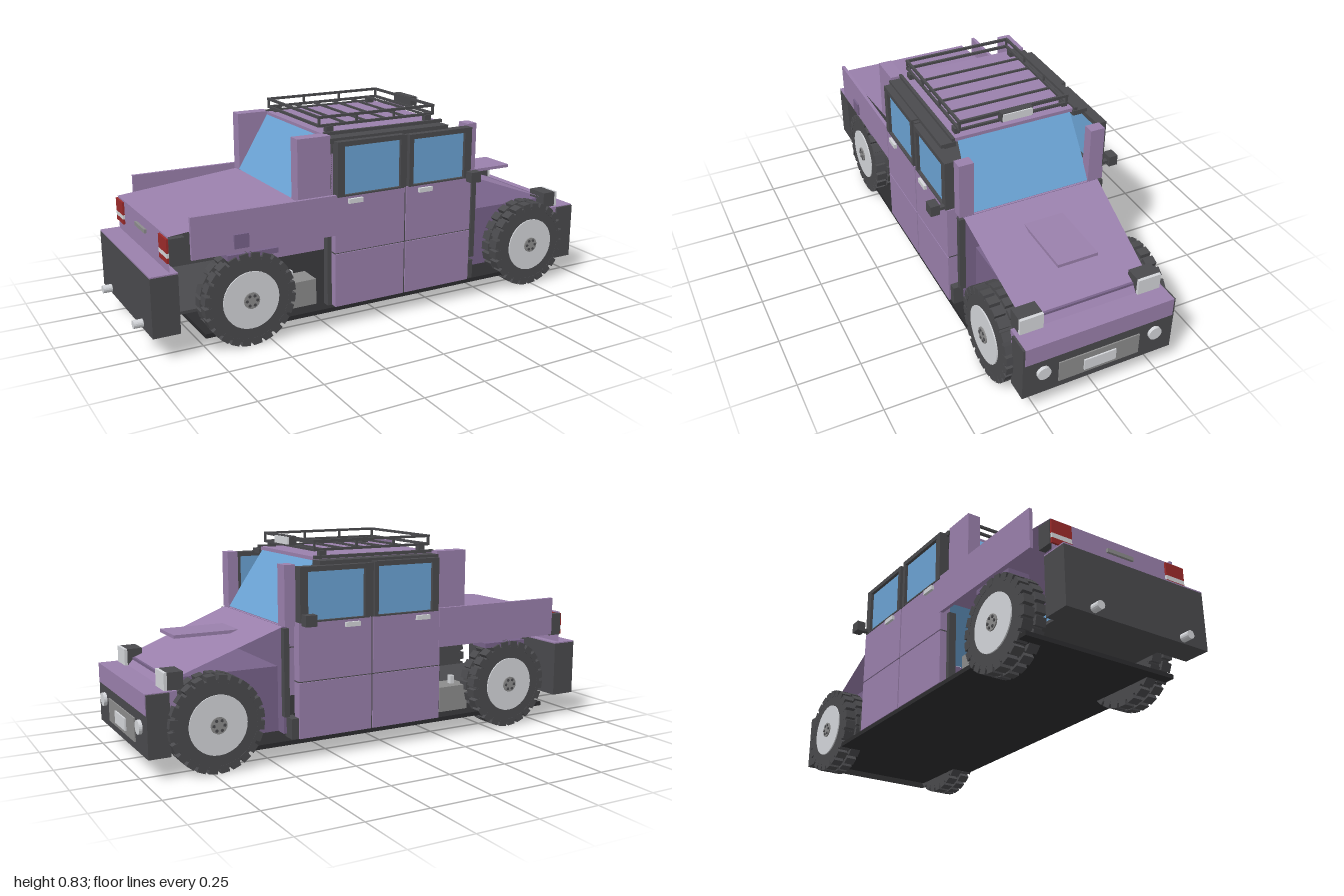
import * as THREE from 'three';

const mat = (color, side = THREE.FrontSide) =>
  new THREE.MeshStandardMaterial({ color, side, flatShading: true });
const paint = mat(0x9a80ac), shade = mat(0x78638a), dark = mat(0x4a4a4d), black = mat(0x2c2c2e);
const light = mat(0xd4d6da), grey = mat(0x8c8c8c), red = mat(0x9c2a2a);
const sheetPaint = mat(0x9a80ac, THREE.DoubleSide), sheetGlass = mat(0x6ba3d4, THREE.DoubleSide);
const glass = mat(0x6ba3d4);

export function createModel() {
  const car = new THREE.Group();
  car.name = 'pickupTruck';

  const add = (name, geo, material, parent = car) => {
    const m = new THREE.Mesh(geo, material);
    m.name = name;
    parent.add(m);
    return m;
  };
  // box given by its limits on each axis
  const box = (name, x0, x1, y0, y1, z0, z1, material, parent = car) => {
    const m = add(name, new THREE.BoxGeometry(x1 - x0, y1 - y0, z1 - z0), material, parent);
    m.position.set((x0 + x1) / 2, (y0 + y1) / 2, (z0 + z1) / 2);
    return m;
  };
  // the same box on both sides of the car
  const pair = (name, x0, x1, y0, y1, z0, z1, material) => {
    box(name + 'Left', x0, x1, y0, y1, z0, z1, material);
    box(name + 'Right', x0, x1, y0, y1, -z1, -z0, material);
  };
  // thin sheet running between two cross lines [x, y, half width]
  const sheet = (name, a, b, material) => {
    const g = new THREE.BufferGeometry();
    g.setAttribute('position', new THREE.Float32BufferAttribute([
      a[0], a[1], a[2], b[0], b[1], b[2], b[0], b[1], -b[2], a[0], a[1], -a[2]], 3));
    g.setIndex([0, 1, 2, 0, 2, 3]);
    g.computeVertexNormals();
    return add(name, g, material);
  };

  // floor and underbody
  box('floorPlate', -0.77, 0.86, 0.068, 0.085, -0.335, 0.335, black);
  box('rearFramePlate', -0.85, -0.3, 0.138, 0.15, -0.235, 0.235, dark);
  pair('tank', -0.42, -0.28, 0.085, 0.19, 0.17, 0.27, grey);
  pair('tankFiller', -0.38, -0.362, 0.19, 0.225, 0.21, 0.23, light);
  pair('rearSillPost', -0.25, -0.232, 0.085, 0.38, 0.28, 0.31, dark);
  pair('frontSill', 0.4, 0.432, 0.085, 0.165, 0.27, 0.33, dark);

  // front body
  box('engineBay', 0.445, 0.88, 0.1, 0.355, -0.24, 0.24, shade);
  box('cowl', 0.435, 0.447, 0.1, 0.515, -0.29, 0.29, shade);
  sheet('hood', [0.44, 0.517, 0.29], [0.87, 0.356, 0.262], sheetPaint);
  sheet('hoodNose', [0.87, 0.356, 0.262], [0.9, 0.322, 0.262], sheetPaint);
  box('hoodScoop', 0.52, 0.8, 0.467, 0.48, -0.082, 0.082, paint);
  pair('airIntake', 0.43, 0.452, 0.17, 0.51, 0.285, 0.31, dark);

  // front bumper with grille and lamps
  box('frontBumper', 0.9, 0.985, 0.085, 0.245, -0.312, 0.312, dark);
  box('bumperTop', 0.87, 0.988, 0.245, 0.323, -0.304, 0.304, paint);
  pair('bumperEnd', 0.9, 0.985, 0.245, 0.32, 0.304, 0.312, dark);
  box('grille', 0.98, 0.99, 0.115, 0.206, -0.167, 0.167, grey);
  box('frontPlate', 0.985, 0.996, 0.132, 0.18, -0.066, 0.066, light);
  for (const s of [1, -1]) {
    const lamp = add('fogLamp', new THREE.CylinderGeometry(0.027, 0.027, 0.016, 24), light);
    lamp.rotation.z = Math.PI / 2;
    lamp.position.set(0.99, 0.188, 0.231 * s);
  }
  pair('headlightHousing', 0.84, 0.9, 0.322, 0.388, 0.195, 0.289, dark);
  pair('headlightLens', 0.9, 0.912, 0.322, 0.388, 0.195, 0.289, light);

  // doors: [rear x, front x, glass rear x, glass front x, top y, handle x]
  const doors = [[-0.23, 0.082, -0.19, 0.06, 0.745, -0.175], [0.09, 0.403, 0.12, 0.365, 0.74, 0.145]];
  for (const s of [1, -1]) {
    doors.forEach(([x0, x1, g0, g1, top, hx], i) => {
      const d = new THREE.Group();
      d.name = (i ? 'front' : 'rear') + 'Door' + (s > 0 ? 'Left' : 'Right');
      car.add(d);
      const part = (n, a, b, c, e, z0, z1, m) =>
        box(n, a, b, c, e, Math.min(s * z0, s * z1), Math.max(s * z0, s * z1), m, d);
      part('lowerPanel', x0, x1, 0.085, 0.302, 0.295, 0.338, paint);
      part('crease', x0, x1, 0.302, 0.307, 0.295, 0.333, dark);
      part('upperPanel', x0, x1, 0.307, 0.53, 0.295, 0.338, paint);
      const f0 = x0 + 0.01, f1 = x1 - 0.005;
      part('frameRear', f0, g0, 0.53, top, 0.3, 0.341, dark);
      part('frameFront', g1, f1, 0.53, top, 0.3, 0.341, dark);
      part('frameTop', g0, g1, top - 0.019, top, 0.3, 0.341, dark);
      part('frameBottom', g0, g1, 0.53, 0.536, 0.3, 0.341, dark);
      part('window', g0, g1, 0.536, top - 0.019, 0.312, 0.328, glass);
      part('handle', hx, hx + 0.062, 0.502, 0.52, 0.338, 0.35, light);
    });
  }
  pair('doorGap', 0.078, 0.094, 0.085, 0.74, 0.295, 0.332, dark);
  pair('mirror', 0.358, 0.405, 0.525, 0.568, 0.366, 0.403, dark);
  pair('mirrorArm', 0.375, 0.395, 0.535, 0.548, 0.335, 0.37, dark);

  // cabin shell
  box('roof', -0.24, 0.29, 0.748, 0.764, -0.252, 0.252, paint);
  pair('roofGutter', -0.235, 0.3, 0.735, 0.755, 0.25, 0.312, dark);
  pair('roofRail', -0.24, 0.3, 0.758, 0.77, 0.254, 0.267, dark);
  pair('frontPillar', 0.4, 0.445, 0.515, 0.747, 0.245, 0.305, paint);
  pair('rearPillar', -0.372, -0.232, 0.525, 0.766, 0.25, 0.305, paint);
  sheet('windshield', [0.29, 0.75, 0.24], [0.442, 0.52, 0.25], sheetGlass);
  sheet('rearWindow', [-0.24, 0.752, 0.25], [-0.375, 0.53, 0.25], sheetGlass);

  // cargo bed
  sheet('bedCover', [-0.235, 0.535, 0.305], [-0.885, 0.47, 0.305], sheetPaint);
  sheet('tailgate', [-0.885, 0.47, 0.305], [-0.885, 0.33, 0.305], sheetPaint);
  box('tailgateHandle', -0.895, -0.885, 0.415, 0.43, -0.06, 0.06, grey);
  pair('bedSide', -0.812, -0.225, 0.38, 0.54, 0.326, 0.34, paint);
  box('fuelCap', -0.65, -0.592, 0.398, 0.452, 0.34, 0.348, shade);
  pair('rearFender', -0.672, -0.468, 0.35, 0.37, 0.24, 0.33, shade);
  pair('tailLampHousing', -0.885, -0.825, 0.37, 0.463, 0.285, 0.312, dark);
  pair('tailLampRed', -0.893, -0.884, 0.41, 0.463, 0.22, 0.308, red);
  pair('tailLampClear', -0.893, -0.884, 0.392, 0.41, 0.22, 0.308, light);
  pair('tailLampLower', -0.893, -0.884, 0.372, 0.392, 0.22, 0.308, red);

  // rear bumper and exhausts
  box('rearBumper', -0.963, -0.857, 0.1, 0.33, -0.316, 0.316, dark);
  box('rearBumperTop', -0.963, -0.857, 0.33, 0.335, -0.316, 0.316, paint);
  for (const s of [1, -1]) {
    const pipe = add('exhaust', new THREE.CylinderGeometry(0.016, 0.016, 0.07, 16), light);
    pipe.rotation.z = Math.PI / 2;
    pipe.position.set(-0.965, 0.121, 0.2 * s);
  }

  // roof rack
  for (const y of [0.789, 0.822]) {
    pair('rackSideBar', -0.245, 0.285, y - 0.005, y + 0.005, 0.222, 0.232, dark);
    for (const x of [-0.24, 0.28])
      box('rackEndBar', x - 0.005, x + 0.005, y - 0.005, y + 0.005, -0.232, 0.232, dark);
  }
  for (const x of [-0.24, -0.075, 0.095, 0.28])
    pair('rackPost', x - 0.004, x + 0.004, 0.787, 0.824, 0.223, 0.231, dark);
  for (const x of [-0.2, 0.25])
    pair('rackFoot', x - 0.015, x + 0.015, 0.764, 0.787, 0.218, 0.24, dark);
  for (let i = 0; i < 5; i++) {
    const x = -0.12 + i * 0.09;
    box('rackSlat', x - 0.004, x + 0.004, 0.785, 0.793, -0.225, 0.225, dark);
  }
  box('lightBarHousing', 0.278, 0.308, 0.793, 0.83, -0.066, 0.066, dark);
  box('lightBarLens', 0.308, 0.314, 0.797, 0.827, -0.062, 0.062, light);

  // wheels: tyre, tread lugs, rim, cap and bolts
  const disc = (name, r, depth, z, material, parent, x = 0, y = 0, seg = 32) => {
    const m = add(name, new THREE.CylinderGeometry(r, r, depth, seg), material, parent);
    m.rotation.x = Math.PI / 2;
    m.position.set(x, y, z);
  };
  const makeWheel = () => {
    const w = new THREE.Group();
    disc('tyre', 0.168, 0.094, 0, dark, w);
    for (let i = 0; i < 24; i++) {
      const a = (i + 0.5) * Math.PI / 12;
      for (const s of [1, -1]) {
        const b = a + (s > 0 ? 0 : Math.PI / 24);
        const lug = add('treadLug', new THREE.BoxGeometry(0.022, 0.034, 0.044), dark, w);
        lug.position.set(Math.cos(b) * 0.169, Math.sin(b) * 0.169, s * 0.026);
        lug.rotation.z = b;
        lug.scale.x = 1.35;
      }
    }
    disc('rim', 0.113, 0.012, 0.046, light, w);
    disc('hubCap', 0.032, 0.014, 0.05, grey, w, 0, 0, 20);
    for (let i = 0; i < 6; i++) {
      const a = i * Math.PI / 3;
      disc('wheelBolt', 0.006, 0.012, 0.054, dark, w, Math.cos(a) * 0.021, Math.sin(a) * 0.021, 8);
    }
    return w;
  };
  for (const [end, x] of [['front', 0.73], ['rear', -0.587]]) {
    for (const s of [1, -1]) {
      const w = makeWheel();
      w.name = end + 'Wheel' + (s > 0 ? 'Left' : 'Right');
      w.position.set(x, 0.186, s * 0.291);
      if (s < 0) w.rotation.y = Math.PI;
      car.add(w);
    }
  }
  return car;
}
